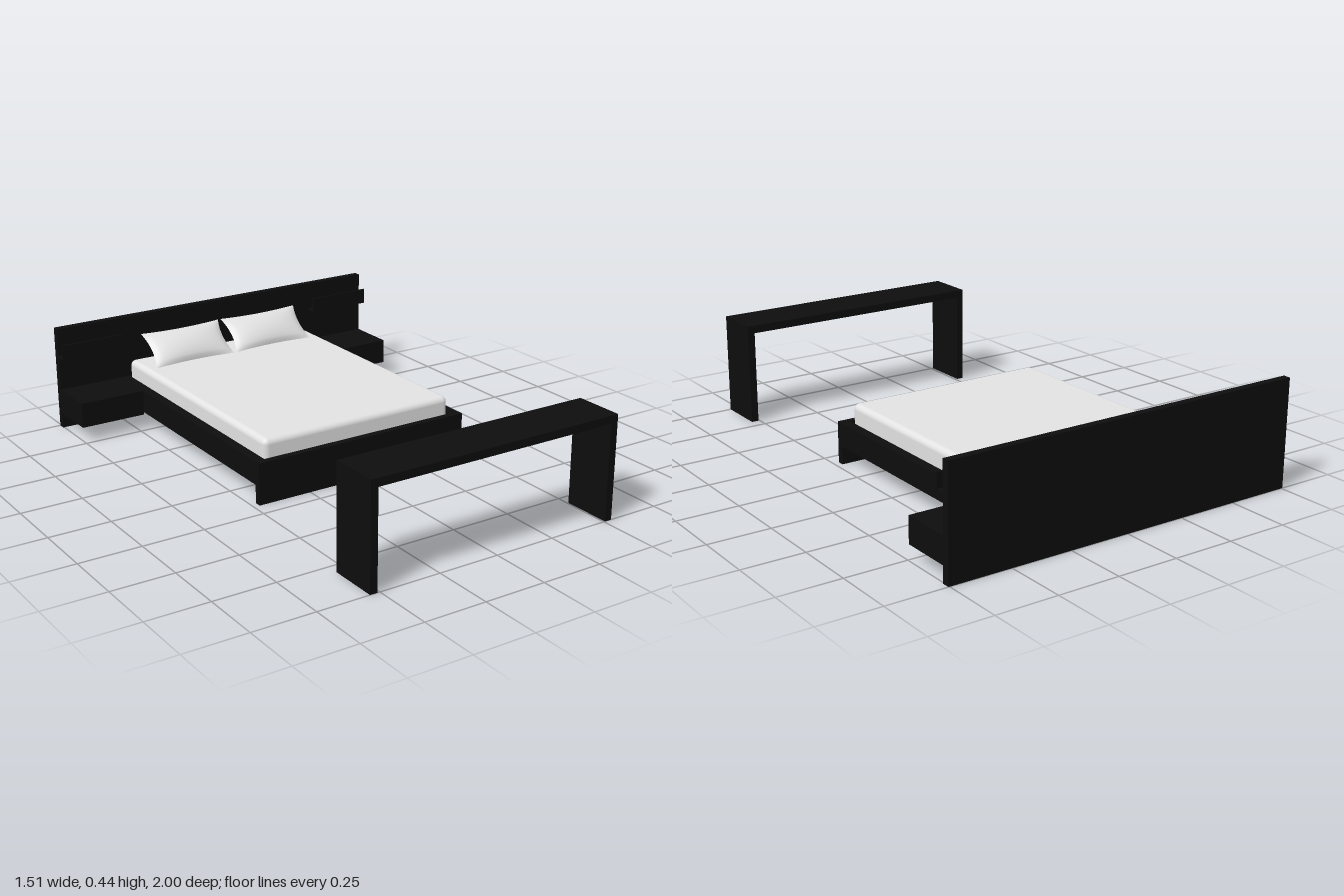
import * as THREE from 'three';
import { mergeGeometries } from 'three/addons/utils/BufferGeometryUtils.js';
import { RoundedBoxGeometry } from 'three/addons/geometries/RoundedBoxGeometry.js';

const blackWood = new THREE.MeshStandardMaterial({ color: 0x0d0d0d });
blackWood.name = 'black wood';
const whiteLinen = new THREE.MeshStandardMaterial({ color: 0xe2e2e2 });
whiteLinen.name = 'white linen';

// Box given by its limits on each axis
function block(name, [x0, x1], [y0, y1], [z0, z1]) {
  const mesh = new THREE.Mesh(new THREE.BoxGeometry(x1 - x0, y1 - y0, z1 - z0), blackWood);
  mesh.name = name;
  mesh.position.set((x0 + x1) / 2, (y0 + y1) / 2, (z0 + z1) / 2);
  return mesh;
}

// Two bulged sheets meeting in a thin seam, with the edges drawn in between the corners
function pillowGeometry(width, height, halfThickness) {
  const sheets = [0, Math.PI].map((turn) => {
    const sheet = new THREE.PlaneGeometry(2, 2, 24, 16);
    const p = sheet.attributes.position;
    for (let i = 0; i < p.count; i++) {
      const u = p.getX(i), v = p.getY(i);
      const a = Math.max(0, 1 - u * u), b = Math.max(0, 1 - v * v);
      p.setXYZ(i,
        u * (width / 2) * (1 - 0.08 * b),
        v * (height / 2) * (1 - 0.08 * a),
        halfThickness * Math.pow(a * b, 0.6));
    }
    sheet.rotateY(turn);
    sheet.computeVertexNormals();
    return sheet;
  });
  return mergeGeometries(sheets);
}

export function createModel() {
  const model = new THREE.Group();
  model.name = 'bedroomSet';

  // Bed frame
  const bed = new THREE.Group();
  bed.name = 'bed';
  bed.add(
    block('headboard', [-0.755, 0.755], [0, 0.435], [-1, -0.97]),
    block('footboard', [-0.475, 0.475], [0, 0.17], [0.152, 0.18]),
    block('platform', [-0.435, 0.435], [0.11, 0.145], [-0.97, 0.152]),
  );

  // Rails, nightstands and lipped shelves on both sides
  for (const side of [-1, 1]) {
    const span = (a, b) => (side > 0 ? [a, b] : [-b, -a]);
    const label = side > 0 ? 'left' : 'right';
    bed.add(
      block(label + 'Rail', span(0.435, 0.475), [0.075, 0.17], [-0.97, 0.152]),
      block(label + 'Nightstand', span(0.475, 0.755), [0.065, 0.17], [-0.97, -0.765]),
      block(label + 'Shelf', span(0.475, 0.755), [0.31, 0.318], [-0.97, -0.925]),
      block(label + 'ShelfLip', span(0.475, 0.755), [0.318, 0.375], [-0.933, -0.925]),
    );
  }

  // Mattress, sunk slightly into the frame
  const mattress = new THREE.Mesh(new RoundedBoxGeometry(0.86, 0.1, 1.12, 4, 0.024), whiteLinen);
  mattress.name = 'mattress';
  mattress.position.set(-0.004, 0.194, -0.409);
  bed.add(mattress);

  // Pillows leaning back towards the headboard
  const pillowShape = pillowGeometry(0.375, 0.18, 0.035);
  for (const [name, x] of [['rightPillow', -0.203], ['leftPillow', 0.185]]) {
    const pillow = new THREE.Mesh(pillowShape, whiteLinen);
    pillow.name = name;
    pillow.position.set(x, 0.302, -0.865);
    pillow.rotation.x = -0.88;
    bed.add(pillow);
  }

  // Free-standing bench: a slab on two panel legs
  const bench = new THREE.Group();
  bench.name = 'bench';
  bench.add(
    block('benchTop', [-0.54, 0.535], [0.383, 0.415], [0.8, 1]),
    block('benchRightLeg', [-0.54, -0.51], [0, 0.383], [0.8, 1]),
    block('benchLeftLeg', [0.505, 0.535], [0, 0.383], [0.8, 1]),
  );

  model.add(bed, bench);
  return model;
}
